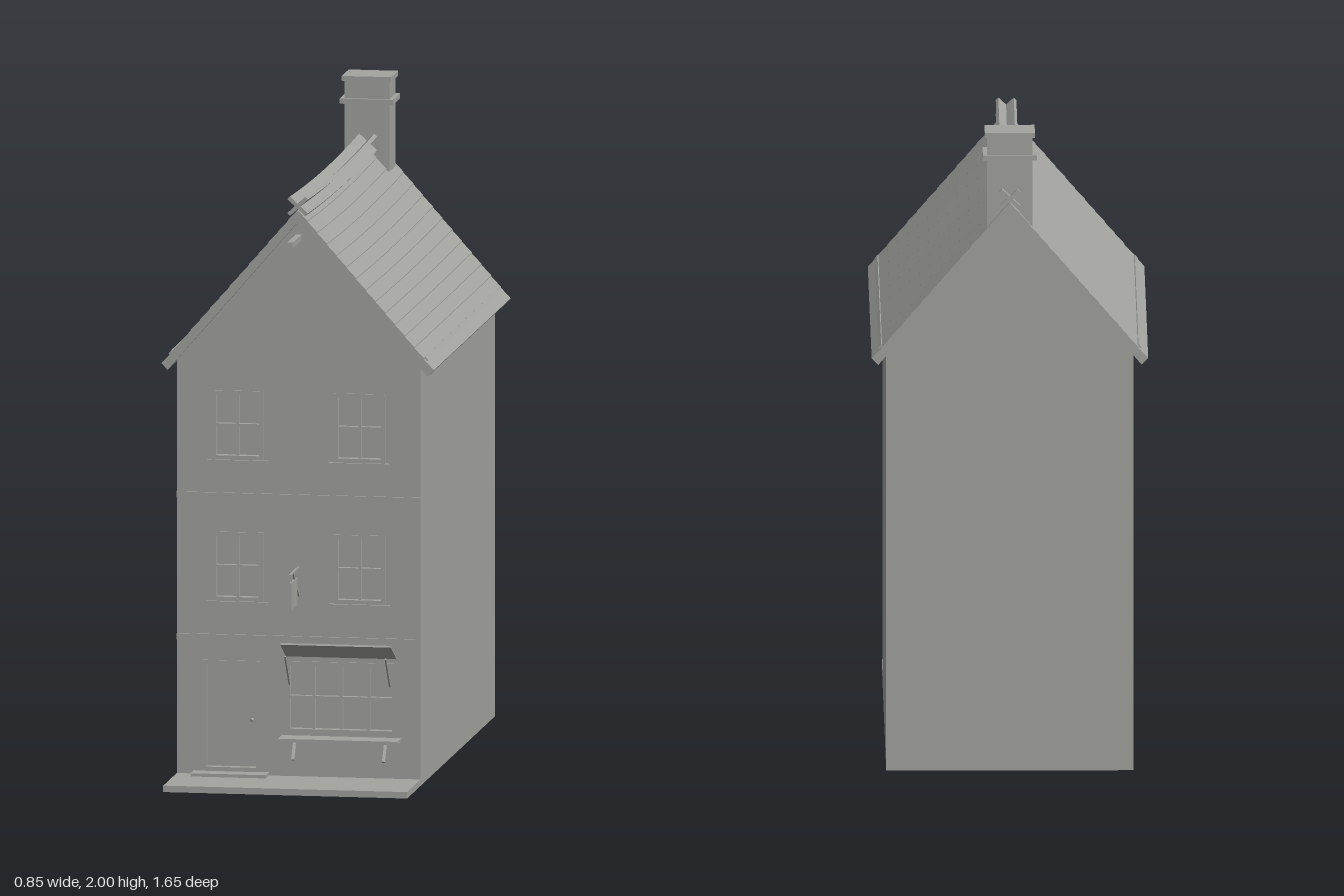
import * as THREE from 'three';

const stone = new THREE.MeshStandardMaterial({ color: 0xa3a3a0 });
stone.name = 'grey stone';

const FRONT = 0.575, BACK = -0.8, HALF = 0.38, SLOPE = 1.153, RIDGE = 1.785;

// Lets high points dip towards the middle of the roof's length
function sag(geometry) {
  const p = geometry.attributes.position;
  for (let i = 0; i < p.count; i++) {
    const t = (p.getZ(i) + 0.115) / 0.71;
    const high = Math.max(0, (p.getY(i) - 1.35) / 0.45);
    p.setY(i, p.getY(i) - 0.015 * high * (1 - t * t));
  }
  geometry.computeVertexNormals();
  return geometry;
}

export function createModel() {
  const model = new THREE.Group();
  model.name = 'gabledShopHouse';

  function add(name, geometry, parent = model) {
    const mesh = new THREE.Mesh(geometry, stone);
    mesh.name = name;
    parent.add(mesh);
    return mesh;
  }
  // Box given by its limits on each axis
  function box(name, x0, x1, y0, y1, z0, z1, parent = model) {
    const mesh = add(name, new THREE.BoxGeometry(x1 - x0, y1 - y0, z1 - z0), parent);
    mesh.position.set((x0 + x1) / 2, (y0 + y1) / 2, (z0 + z1) / 2);
    return mesh;
  }
  // Thin bar running in a plane of constant x
  function bar(name, x, y0, z0, y1, z1, size) {
    const mesh = add(name, new THREE.BoxGeometry(size, size, Math.hypot(y1 - y0, z1 - z0)));
    mesh.position.set(x, (y0 + y1) / 2, (z0 + z1) / 2);
    mesh.rotation.x = -Math.atan2(y1 - y0, z1 - z0);
    return mesh;
  }
  function rectPath(x0, x1, y0, y1, Type = THREE.Path) {
    return new Type([[x0, y0], [x1, y0], [x1, y1], [x0, y1]].map(p => new THREE.Vector2(...p)));
  }
  function gable() {
    const top = RIDGE - 0.03;
    return new THREE.Shape([[-HALF, 0], [HALF, 0], [HALF, top - SLOPE * HALF], [0, top],
      [-HALF, top - SLOPE * HALF]].map(p => new THREE.Vector2(...p)));
  }
  function extrude(shape, z0, z1, steps = 1) {
    const geometry = new THREE.ExtrudeGeometry(shape, { depth: z1 - z0, bevelEnabled: false, steps });
    return geometry.translate(0, 0, z0);
  }

  // Main block and a facade layer with openings
  add('houseBody', sag(extrude(gable(), BACK, FRONT - 0.02, 10)));
  const openings = [];
  for (const x of [-0.19, 0.19])
    for (const y of [0.56, 1.0])
      openings.push({ name: 'window', x0: x - 0.08, x1: x + 0.08, y0: y, y1: y + 0.215, cols: 2, rows: 2 });
  openings.push({ name: 'shopWindow', x0: -0.04, x1: 0.305, y0: 0.155, y1: 0.378, cols: 4, rows: 2 });
  const door = { name: 'door', x0: -0.3, x1: -0.12, y0: 0.03, y1: 0.375, cols: 1, rows: 1 };
  openings.push(door);
  const wall = gable();
  for (const o of openings) wall.holes.push(rectPath(o.x0, o.x1, o.y0, o.y1));
  add('facade', extrude(wall, FRONT - 0.02, FRONT));

  // Frames and glazing bars
  for (const o of openings) {
    const group = new THREE.Group();
    group.name = o.name;
    model.add(group);
    const f = 0.013, b = 0.004;
    const frame = rectPath(o.x0, o.x1, o.y0, o.y1, THREE.Shape);
    frame.holes.push(rectPath(o.x0 + f, o.x1 - f, o.y0 + f, o.y1 - f));
    add('frame', extrude(frame, FRONT - 0.02, FRONT + 0.004), group);
    for (let i = 1; i < o.cols; i++) {
      const x = o.x0 + (o.x1 - o.x0) * i / o.cols;
      box('uprightBar', x - b, x + b, o.y0 + f, o.y1 - f, FRONT - 0.02, FRONT - 0.003, group);
    }
    for (let i = 1; i < o.rows; i++) {
      const y = o.y0 + (o.y1 - o.y0) * i / o.rows;
      box('crossBar', o.x0 + f, o.x1 - f, y - b, y + b, FRONT - 0.02, FRONT - 0.003, group);
    }
    if (o.name === 'window')
      box('sill', o.x0 - 0.015, o.x1 + 0.015, o.y0 - 0.012, o.y0, FRONT - 0.01, FRONT + 0.012, group);
  }

  // Door knob, step and pavement
  const knob = add('doorKnob', new THREE.SphereGeometry(0.006, 12, 8));
  knob.position.set(-0.147, 0.19, FRONT - 0.012);
  box('doorStep', -0.327, -0.093, 0.015, 0.03, FRONT - 0.01, 0.635);
  box('pavement', -HALF, HALF, 0, 0.02, FRONT - 0.01, 0.825);

  // Storey bands
  for (const y of [0.437, 0.878])
    box('storeyBand', -HALF, HALF, y, y + 0.019, FRONT - 0.01, FRONT + 0.006);

  // Shop shelf with splayed supports, and hatch canopy with stays
  box('shopShelf', -0.052, 0.32, 0.137, 0.147, FRONT - 0.01, 0.65);
  for (const x of [-0.008, 0.275]) bar('shelfSupport', x, 0.08, 0.637, 0.138, 0.593, 0.009);
  const canopy = bar('canopy', 0.1325, 0.395, FRONT, 0.447, 0.677, 0.006);
  canopy.scale.x = 0.345 / 0.006;
  for (const x of [-0.025, 0.288]) bar('canopyStay', x, 0.31, 0.598, 0.408, 0.678, 0.005);

  // Hanging sign on its bracket
  bar('signArm', 0, 0.67, FRONT - 0.005, 0.67, 0.747, 0.006);
  bar('signBrace', 0, 0.58, FRONT - 0.003, 0.668, 0.68, 0.005);
  box('signBoard', -0.004, 0.004, 0.56, 0.645, 0.62, 0.73);
  for (const z of [0.64, 0.71]) bar('signHanger', 0, 0.642, z, 0.67, z + 0.001, 0.003);

  // Hoist beam with hook
  box('hoistBeam', -0.009, 0.009, 1.688, 1.706, FRONT - 0.01, 0.732);
  box('hoistRope', -0.003, 0.003, 1.645, 1.69, 0.714, 0.72);

  // Roof cross-section with overlapping tile courses on both slopes
  const courses = 14, edge = 0.425, lip = 0.003, right = [];
  for (let i = 0; i < courses; i++) {
    const a = edge * i / courses, b = edge * (i + 1) / courses;
    right.push([a, RIDGE - SLOPE * a], [b, RIDGE - SLOPE * b + lip]);
  }
  right.push([0.405, 1.277], [0, RIDGE - 0.038]);
  const left = right.slice(1, -1).reverse().map(([x, y]) => [-x, y]);
  const profile = [...right, ...left].map(p => new THREE.Vector2(...p));
  add('tiledRoof', sag(extrude(new THREE.Shape(profile), -0.825, 0.595, 16)));

  // Eaves strips and crossed ridge boards
  for (const s of [-1, 1]) {
    const strip = add('eavesStrip', new THREE.BoxGeometry(0.014, 0.008, 1.38));
    strip.position.set(s * 0.397, RIDGE - SLOPE * 0.397 + 0.002, -0.11);
    strip.rotation.z = -s * Math.atan(SLOPE);
    const board = new THREE.BoxGeometry(0.076, 0.012, 1.42, 1, 1, 16);
    board.rotateZ(s * 0.75).translate(0, 1.797, -0.115);
    add('ridgeBoard', sag(board));
  }

  // Chimney
  box('chimneyShaft', -0.07, 0.07, 1.705, 1.99, -0.8, -0.685);
  box('chimneyBand', -0.083, 0.083, 1.914, 1.93, -0.81, -0.675);
  box('chimneyCap', -0.077, 0.077, 1.985, 2.0, -0.806, -0.678);

  return model;
}
